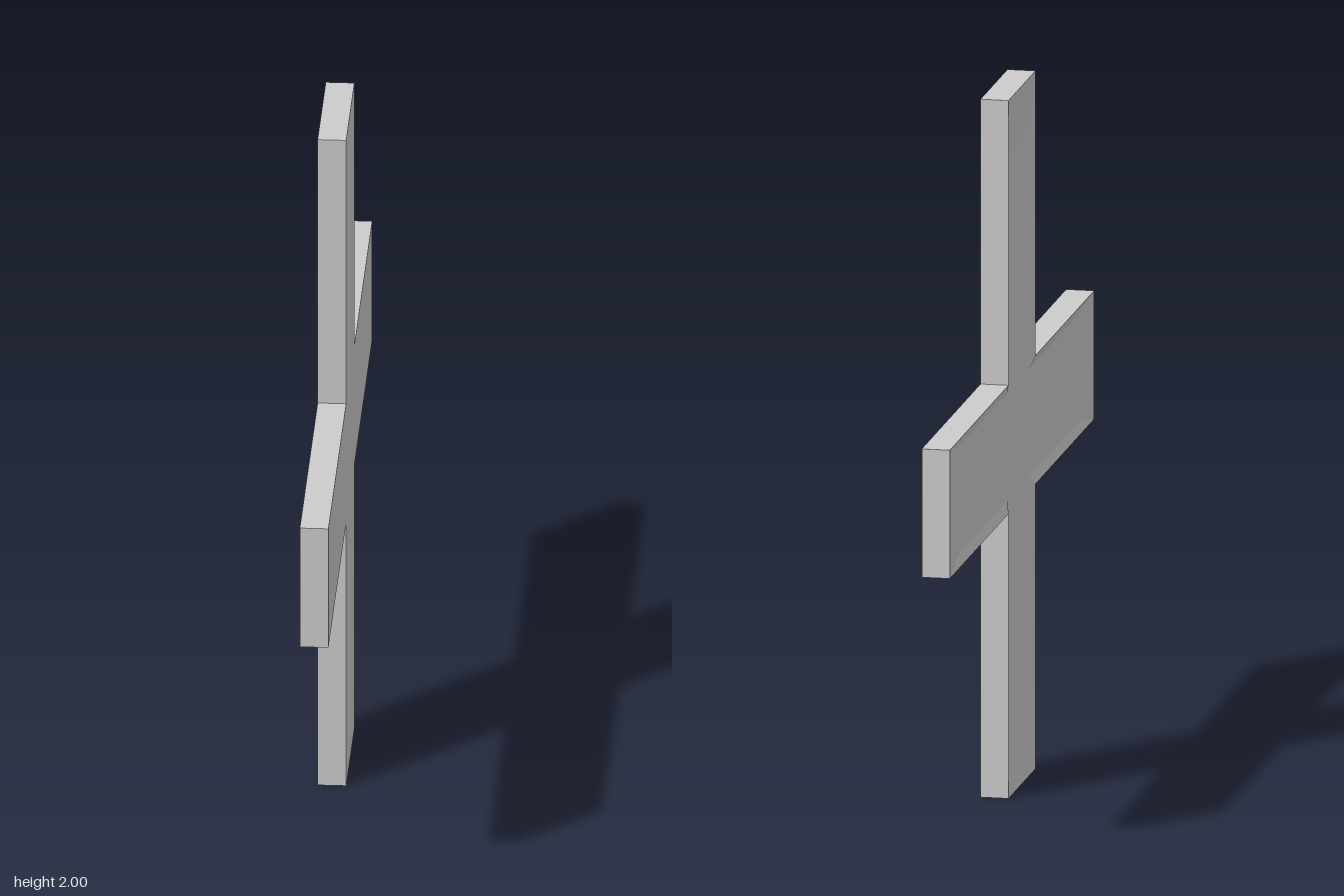
import * as THREE from 'three';

const HALF_Y = 1, HALF_Z = 0.985, ARM = 0.184, HALF_X = 0.04;
const SIDE_INSET = 0.03, END_INSET = 0.16, DEPTH = 0.01;

// Twelve-cornered cross in the (z, y) plane, counter-clockwise seen from -x
function crossLoop(halfZ, halfY, arm) {
  return [
    [halfZ, -arm], [halfZ, arm], [arm, arm], [arm, halfY],
    [-arm, halfY], [-arm, arm], [-halfZ, arm], [-halfZ, -arm],
    [-arm, -arm], [-arm, -halfY], [arm, -halfY], [arm, -arm],
  ].map(([z, y]) => new THREE.Vector2(z, y));
}

function crossGeometry() {
  const outer = crossLoop(HALF_Z, HALF_Y, ARM);
  const inner = crossLoop(HALF_Z - END_INSET, HALF_Y - END_INSET, ARM - SIDE_INSET);
  // Flat face, rim of the dished face, floor of the dished face
  const sections = [[outer, HALF_X], [outer, -HALF_X], [inner, DEPTH - HALF_X]];
  const n = outer.length;
  const positions = [], index = [];
  for (const [loop, x] of sections) {
    for (const p of loop) positions.push(x, p.y + HALF_Y, p.x);
  }
  // Edge walls, then the shallow slopes of the dish
  for (let s = 0; s < sections.length - 1; s++) {
    for (let i = 0; i < n; i++) {
      const a = s * n + i, b = s * n + (i + 1) % n;
      index.push(a, b, b + n, a, b + n, a + n);
    }
  }
  // Caps
  for (const [a, b, c] of THREE.ShapeUtils.triangulateShape(outer, [])) index.push(a, c, b);
  for (const [a, b, c] of THREE.ShapeUtils.triangulateShape(inner, [])) {
    index.push(a + 2 * n, b + 2 * n, c + 2 * n);
  }
  const indexed = new THREE.BufferGeometry();
  indexed.setAttribute('position', new THREE.Float32BufferAttribute(positions, 3));
  indexed.setIndex(index);
  const geometry = indexed.toNonIndexed();
  geometry.computeVertexNormals();
  return geometry;
}

export function createModel() {
  const group = new THREE.Group();
  group.name = 'crossPlate';
  const material = new THREE.MeshStandardMaterial({ color: 0xcccccc, flatShading: true });
  const cross = new THREE.Mesh(crossGeometry(), material);
  cross.name = 'cross';
  group.add(cross);
  return group;
}
